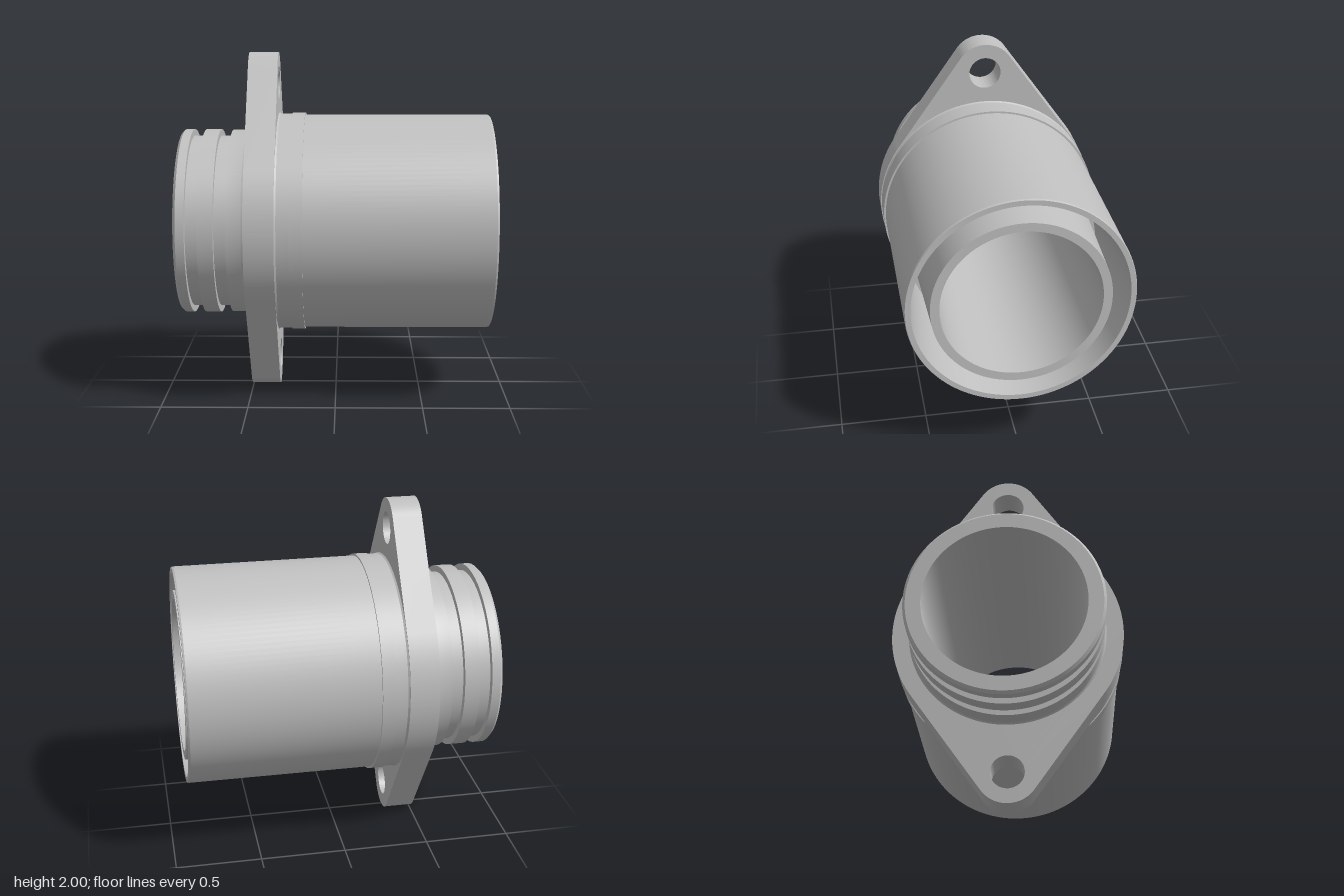
import * as THREE from 'three';
import { toCreasedNormals } from 'three/addons/utils/BufferGeometryUtils.js';

const AXIS_Y = 1;         // height of the bore axis
const BORE = 0.447;

export function createModel() {
  const model = new THREE.Group();
  const metal = new THREE.MeshStandardMaterial({ color: 0xc0c0c0 });
  metal.name = 'grey metal';

  // Revolve a closed [x, radius] profile around the x axis
  const revolve = (name, profile) => {
    const points = [...profile, profile[0]].map(([x, r]) => new THREE.Vector2(r, x));
    const geometry = toCreasedNormals(new THREE.LatheGeometry(points, 128), 0.3);
    geometry.rotateZ(-Math.PI / 2);
    const mesh = new THREE.Mesh(geometry, metal);
    mesh.name = name;
    mesh.position.y = AXIS_Y;
    model.add(mesh);
  };

  // Spigot with two seal grooves, collar, sleeve and inner tube in one turned part
  revolve('turnedBody', [
    [-0.905, BORE], [-0.905, 0.53], [-0.89, 0.545],
    [-0.84, 0.545], [-0.84, 0.507], [-0.77, 0.507], [-0.77, 0.545],
    [-0.68, 0.545], [-0.68, 0.507], [-0.61, 0.507], [-0.61, 0.543],
    [-0.525, 0.543], [-0.512, 0.547], [-0.5, 0.56],
    // collar and outer sleeve
    [-0.36, 0.56], [-0.36, 0.645], [-0.335, 0.645], [-0.325, 0.639],
    [-0.255, 0.639], [-0.255, 0.645], [-0.18, 0.645], [-0.18, 0.634],
    [0.89, 0.634], [0.9, 0.63],
    // tapered annular recess around the inner tube
    [0.9, 0.6], [0.3, 0.545], [0.3, 0.52], [0.9, 0.497], [0.9, BORE],
  ]);

  // Two-bolt flange: a central disc joined to two ear arcs by tangent lines
  const R = 0.65, r = 0.175, ear = 0.825;
  const a = Math.asin((R - r) / ear);
  const shape = new THREE.Shape();
  shape.absarc(0, 0, R, -a, a, false);
  shape.absarc(0, ear, r, a, Math.PI - a, false);
  shape.absarc(0, 0, R, Math.PI - a, Math.PI + a, false);
  shape.absarc(0, -ear, r, Math.PI + a, 2 * Math.PI - a, false);
  for (const [y, radius] of [[0, 0.5], [ear, 0.093], [-ear, 0.093]]) {
    shape.holes.push(new THREE.Path().absarc(0, y, radius, 0, Math.PI * 2, true));
  }
  const plate = new THREE.ExtrudeGeometry(shape, { depth: 0.17, bevelEnabled: false, curveSegments: 48 });
  plate.rotateY(Math.PI / 2);
  const flange = new THREE.Mesh(toCreasedNormals(plate, 0.5), metal);
  flange.name = 'boltFlange';
  flange.position.set(-0.505, AXIS_Y, 0);
  model.add(flange);

  return model;
}
